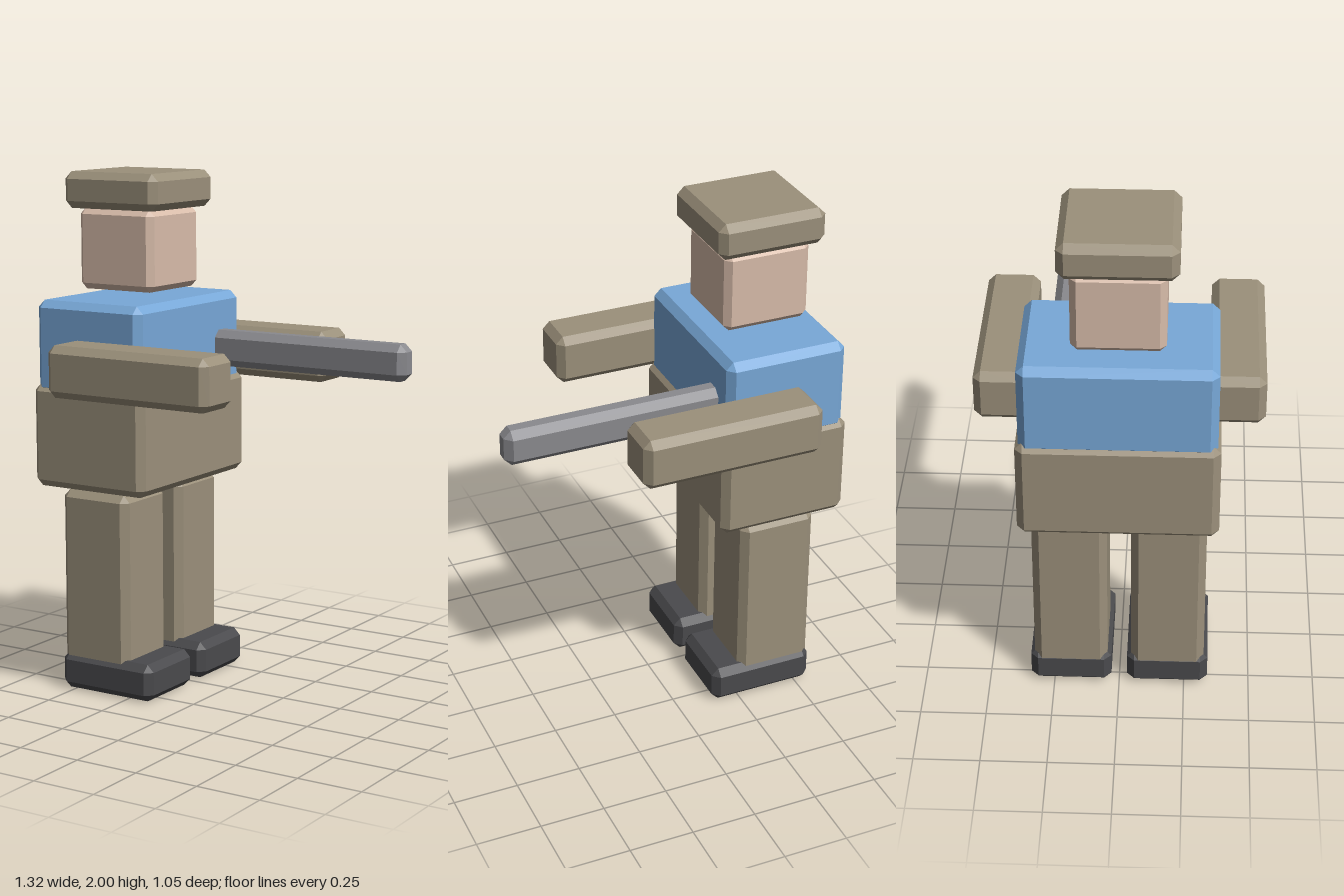
import * as THREE from 'three';
import { ConvexGeometry } from 'three/addons/geometries/ConvexGeometry.js';

const BEVEL = 0.028;

// Box between two limits on each axis, with every edge chamfered
function bevelBox([x0, x1], [y0, y1], [z0, z1], bevel = BEVEL) {
  const half = [(x1 - x0) / 2, (y1 - y0) / 2, (z1 - z0) / 2];
  const points = [];
  for (const sx of [-1, 1]) for (const sy of [-1, 1]) for (const sz of [-1, 1]) {
    const sign = [sx, sy, sz];
    // each corner becomes three points, one on each adjoining face
    for (let face = 0; face < 3; face++) {
      const p = half.map((h, axis) => sign[axis] * (axis === face ? h : h - bevel));
      points.push(new THREE.Vector3(...p));
    }
  }
  return new ConvexGeometry(points);
}

export function createModel() {
  const model = new THREE.Group();
  model.name = 'blockFigure';

  const paint = (color) => new THREE.MeshStandardMaterial({ color, flatShading: true });
  const cloth = paint(0x9b907b);
  const vest = paint(0x78a8d8);
  const skin = paint(0xd8bcaa);
  const boot = paint(0x4a4a4d);
  const metal = paint(0x8a8a8e);

  const add = (name, material, x, y, z, bevel) => {
    const mesh = new THREE.Mesh(bevelBox(x, y, z, bevel), material);
    mesh.position.set((x[0] + x[1]) / 2, (y[0] + y[1]) / 2, (z[0] + z[1]) / 2);
    mesh.name = name;
    model.add(mesh);
  };

  // Trunk and head; the figure looks along +x
  add('hips', cloth, [-0.66, -0.15], [0.8, 1.2], [-0.367, 0.367]);
  add('torso', vest, [-0.647, -0.167], [1.16, 1.52], [-0.355, 0.355]);
  add('head', skin, [-0.577, -0.237], [1.55, 1.862], [-0.168, 0.168], 0.024);
  add('cap', cloth, [-0.62, -0.195], [1.86, 2], [-0.21, 0.21]);

  // Paired limbs
  for (const [side, s] of [['right', 1], ['left', -1]]) {
    const across = (inner, outer) => [s * inner, s * outer].sort((a, b) => a - b);
    add(side + 'Leg', cloth, [-0.559, -0.255], [0.08, 0.79], across(0.045, 0.325));
    add(side + 'Boot', boot, [-0.56, -0.14], [0, 0.145], across(0.03, 0.34));
    add(side + 'Arm', cloth, [-0.477, 0.232], [1.18, 1.378], across(0.326, 0.525));
  }

  // Barrel pointing forward from the chest
  add('barrel', metal, [-0.22, 0.66], [1.237, 1.378], [-0.265, -0.168]);

  return model;
}
